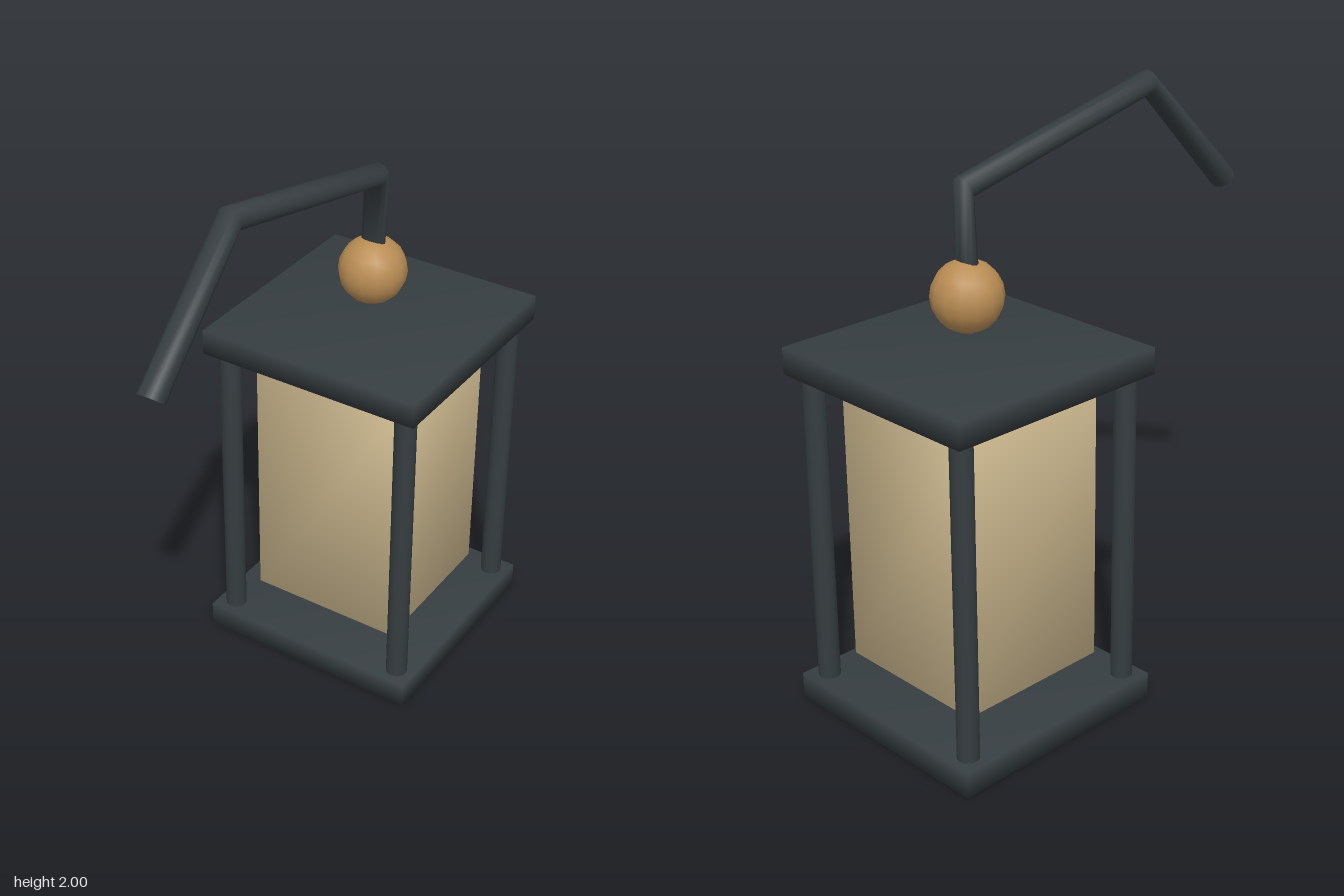
import * as THREE from 'three';
import { mergeVertices } from 'three/addons/utils/BufferGeometryUtils.js';

const CZ = -0.407; // lantern axis
const iron = new THREE.MeshStandardMaterial({ color: 0x363d40 });
const paper = new THREE.MeshStandardMaterial({ color: 0xcdb98f });
const brass = new THREE.MeshStandardMaterial({ color: 0xb98d54 });

// Share corner vertices so the shading runs smoothly over the edges
function soften(geo) {
  geo.deleteAttribute('normal');
  geo.deleteAttribute('uv');
  const g = mergeVertices(geo, 1e-4);
  g.computeVertexNormals();
  return g;
}

// Bent bar from oval rings: each is centre (y, z) and half-width vector (y, z)
function bentBar(rings, halfX, sides) {
  const pos = [], idx = [];
  for (const [y, z, hy, hz] of rings) {
    for (let i = 0; i < sides; i++) {
      const a = (i / sides) * Math.PI * 2;
      pos.push(Math.sin(a) * halfX, y + Math.cos(a) * hy, z + Math.cos(a) * hz);
    }
  }
  for (let r = 0; r < rings.length - 1; r++) {
    for (let i = 0; i < sides; i++) {
      const j = (i + 1) % sides;
      const a = r * sides + i, b = r * sides + j;
      idx.push(a, a + sides, b, b, a + sides, b + sides);
    }
  }
  // end caps
  const last = (rings.length - 1) * sides;
  for (let i = 1; i < sides - 1; i++) {
    idx.push(0, i, i + 1, last, last + i + 1, last + i);
  }
  const g = new THREE.BufferGeometry();
  g.setAttribute('position', new THREE.Float32BufferAttribute(pos, 3));
  g.setIndex(idx);
  g.computeVertexNormals();
  return g;
}

export function createModel() {
  const model = new THREE.Group();
  model.name = 'hangingLantern';
  const add = (name, geo, mat, x, y, z) => {
    const m = new THREE.Mesh(geo, mat);
    m.name = name;
    m.position.set(x, y, z);
    model.add(m);
  };

  // Base and roof slabs
  const slab = soften(new THREE.BoxGeometry(0.815, 0.09, 0.815));
  add('base', slab, iron, 0, 0.045, CZ);
  add('roof', slab, iron, 0, 1.215, CZ);

  // Corner posts
  const post = soften(new THREE.CylinderGeometry(0.037, 0.037, 1.12, 12));
  for (const sx of [-1, 1]) {
    for (const sz of [-1, 1]) {
      add('cornerPost', post, iron, sx * 0.344, 0.63, CZ + sz * 0.344);
    }
  }

  // Paper shade
  add('shade', soften(new THREE.BoxGeometry(0.56, 0.925, 0.56)), paper, 0, 0.633, CZ);

  // Ball finial
  add('finial', new THREE.SphereGeometry(0.117, 14, 10), brass, 0, 1.43, CZ);

  // Bent hanging hook, from the ball up and forward to the drooping tip
  const hook = bentBar([
    [1.5, -0.405, 0, -0.027],
    [1.772, -0.415, 0.034, -0.016],
    [1.958, 0.389, 0.04, 0.005],
    [1.561, 0.786, 0.029, 0.032],
  ], 0.045, 12);
  add('hook', hook, iron, 0, 0, 0);

  return model;
}
